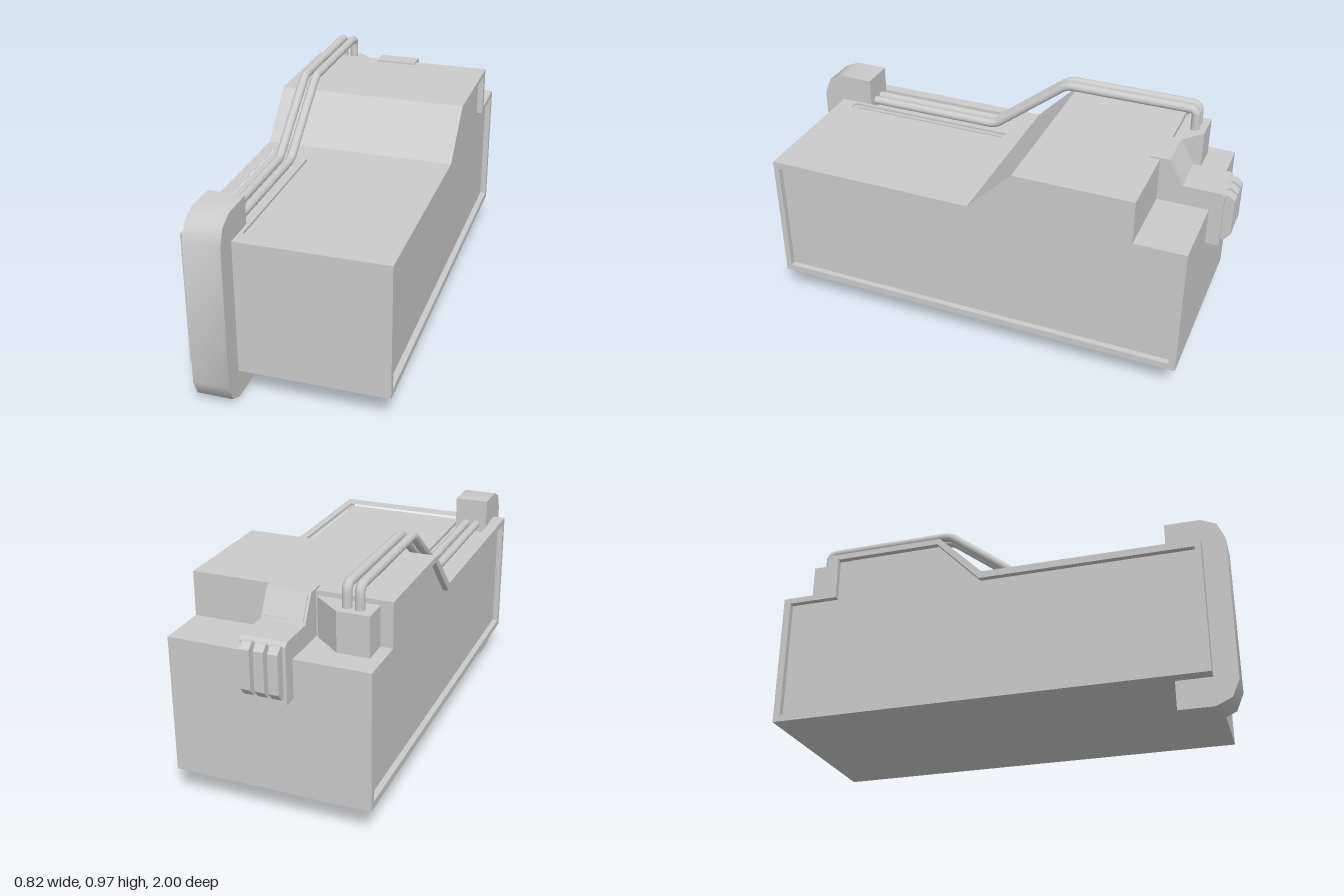
import * as THREE from 'three';
import { toCreasedNormals } from 'three/addons/utils/BufferGeometryUtils.js';

const material = new THREE.MeshStandardMaterial({ color: 0xcccccc });
const v2 = (pts) => pts.map(([a, b]) => new THREE.Vector2(a, b));

function add(parent, name, geometry) {
  const mesh = new THREE.Mesh(geometry, material);
  mesh.name = name;
  parent.add(mesh);
  return mesh;
}

// Side profile of [z, y] points, extruded from x0 to x1
function sideExtrude(pts, x0, x1, hole) {
  const shape = new THREE.Shape(v2(pts));
  if (hole) shape.holes.push(new THREE.Path(v2(hole)));
  const g = new THREE.ExtrudeGeometry(shape, { depth: x1 - x0, bevelEnabled: false });
  return g.rotateY(-Math.PI / 2).translate(x1, 0, 0);
}

// Plan outline of [x, z] points, extruded from y0 to y1
function planExtrude(pts, y0, y1, holes = []) {
  const flip = (list) => v2(list.map(([x, z]) => [x, -z]));
  const shape = new THREE.Shape(flip(pts));
  holes.forEach((h) => shape.holes.push(new THREE.Path(flip(h))));
  const g = new THREE.ExtrudeGeometry(shape, { depth: y1 - y0, bevelEnabled: false });
  return g.rotateX(-Math.PI / 2).translate(0, y0, 0);
}

const rect = (x0, x1, z0, z1) => [[x0, z0], [x1, z0], [x1, z1], [x0, z1]];

// Polyline with rounded corners
function roundedPath(points, r) {
  const path = new THREE.CurvePath();
  let from = points[0];
  for (let i = 1; i < points.length - 1; i++) {
    const p = points[i];
    const a = p.clone().add(points[i - 1].clone().sub(p).setLength(r));
    const b = p.clone().add(points[i + 1].clone().sub(p).setLength(r));
    path.add(new THREE.LineCurve3(from, a));
    path.add(new THREE.QuadraticBezierCurve3(a, p, b));
    from = b;
  }
  path.add(new THREE.LineCurve3(from, points[points.length - 1]));
  return path;
}

export function createModel() {
  const model = new THREE.Group();
  model.name = 'device';
  const W = 0.41, inner = 0.385;

  // Body core, lowered under the front deck
  add(model, 'bodyCore', sideExtrude([
    [0.905, 0.12], [0.905, 0.655], [0, 0.655], [0, 0.69], [-0.19, 0.88],
    [-0.69, 0.88], [-0.69, 0.695], [-0.905, 0.695], [-0.905, 0.12],
  ], -inner, inner));

  // Raised rims around the recessed side panels
  const outline = [
    [0.905, 0.12], [0.905, 0.69], [0, 0.69], [-0.19, 0.88],
    [-0.69, 0.88], [-0.69, 0.695], [-0.905, 0.695], [-0.905, 0.12],
  ];
  const opening = [
    [0.88, 0.15], [0.88, 0.66], [-0.012, 0.66], [-0.2, 0.855],
    [-0.66, 0.855], [-0.66, 0.67], [-0.875, 0.67], [-0.875, 0.15],
  ];
  add(model, 'leftRim', sideExtrude(outline, inner, W, opening));
  add(model, 'rightRim', sideExtrude(outline, -W, -inner, opening));

  // Front deck with a pipe channel and a stepped panel recess
  const recess = rect(-0.19, 0.375, 0.075, 0.835);
  add(model, 'deck', planExtrude(rect(-inner, inner, 0, 0.905), 0.655, 0.69,
    [recess, rect(-0.36, -0.205, 0.085, 0.8)]));
  add(model, 'panelStep', planExtrude(recess, 0.655, 0.68, [rect(-0.175, 0.36, 0.09, 0.815)]));
  add(model, 'panel', planExtrude(rect(-0.175, 0.36, 0.09, 0.815), 0.655, 0.67,
    [rect(-0.16, 0.345, 0.43, 0.795)]));

  // Upright front bar with rounded ends
  add(model, 'frontBar', toCreasedNormals(sideExtrude([
    [0.76, 0], [0.905, 0], [0.97, 0.03], [1, 0.1],
    [1, 0.71], [0.97, 0.78], [0.905, 0.81], [0.76, 0.81],
  ], -0.355, -0.205), 0.85));

  // Twin pipes from the bar over the hump to the rear block
  for (const x of [-0.304, -0.254]) {
    const points = [[0.69, 0.78], [0.69, 0.155], [0.95, -0.18], [0.95, -0.75], [0.84, -0.75]]
      .map(([y, z]) => new THREE.Vector3(x, y, z));
    add(model, 'pipe', new THREE.TubeGeometry(roundedPath(points, 0.03), 120, 0.019, 16));
  }

  // Block that receives the pipes
  add(model, 'pipeBlock', planExtrude(
    [[-0.36, -0.69], [-0.36, -0.797], [-0.23, -0.797], [-0.115, -0.7], [-0.115, -0.69]], 0.695, 0.86));

  // Rear latch: hooked body, slot frame and three ribs
  const latch = new THREE.Group();
  latch.name = 'latch';
  model.add(latch);
  add(latch, 'latchBody', sideExtrude([
    [-0.65, 0.87], [-0.65, 0.887], [-0.73, 0.887], [-0.79, 0.78], [-0.945, 0.78],
    [-0.96, 0.765], [-0.96, 0.535], [-0.9, 0.535], [-0.9, 0.69], [-0.69, 0.69], [-0.69, 0.87],
  ], -0.105, 0.075));
  const frame = add(latch, 'latchSlotFrame', planExtrude(
    rect(-0.08, 0.08, -0.05, 0.05), -0.002, 0.004, [rect(-0.072, 0.072, -0.042, 0.042)]));
  frame.position.set(-0.015, 0.8335, -0.76);
  frame.rotation.x = -Math.atan2(0.107, 0.06);
  for (const x of [-0.072, -0.016, 0.04]) {
    add(latch, 'latchRib', sideExtrude([
      [-0.94, 0.77], [-0.975, 0.77], [-1, 0.75], [-1, 0.59], [-0.975, 0.56], [-0.94, 0.56],
    ], x - 0.02, x + 0.02));
  }

  return model;
}
